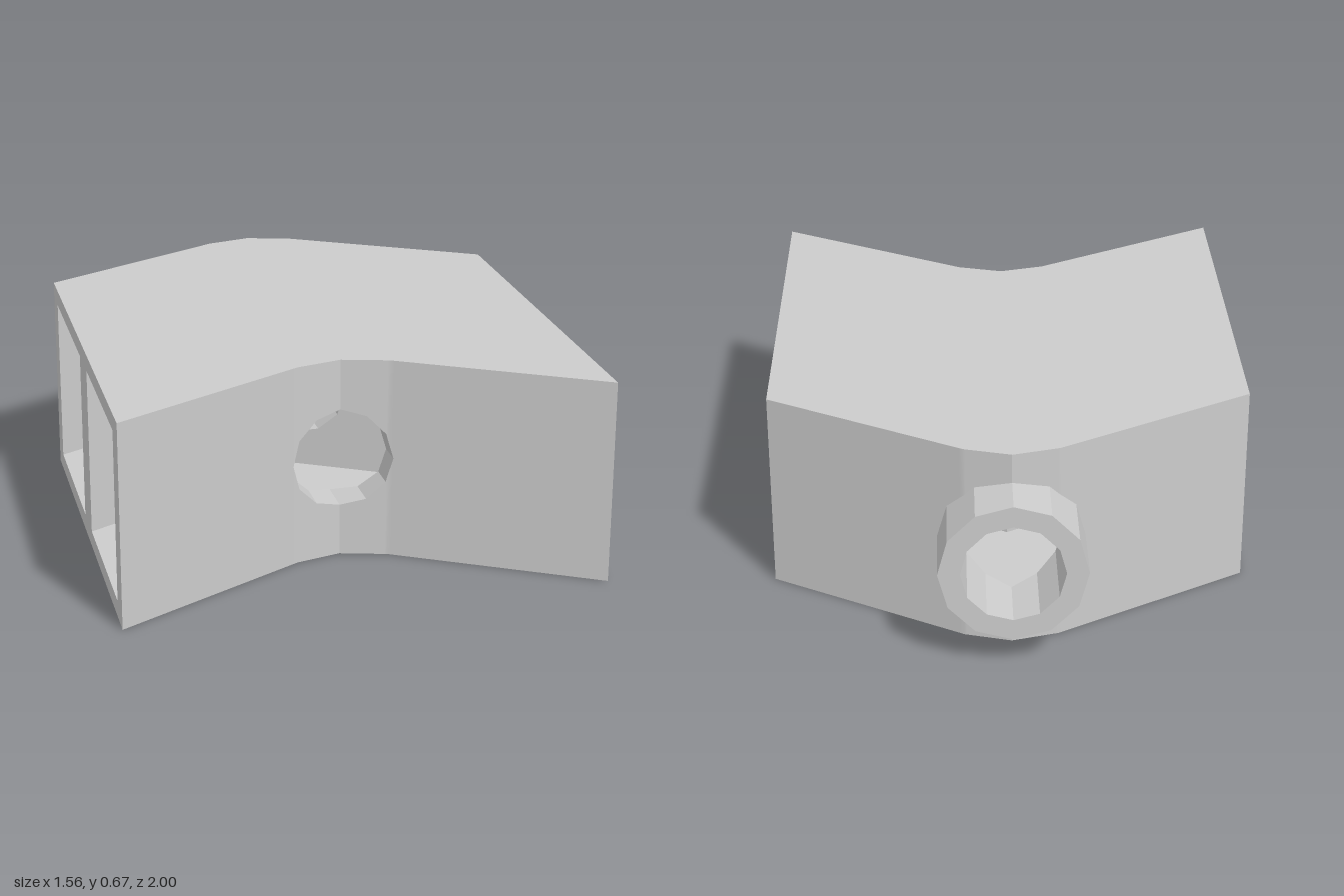
import * as THREE from 'three';
import { toCreasedNormals } from 'three/addons/utils/BufferGeometryUtils.js';

const W = 0.78, H = 0.67, CY = 0.337;      // half width, height, bore centre
const Y0 = 0.055, Y1 = 0.615;              // channel floor and ceiling
const BORE = 0.165, PIPE = 0.235, BACK = -1;
const SLOPE = Math.tan(Math.PI / 6);

// Depth rules across x: blunted chevron outside, sharp V inside
const front = x => {
  const a = Math.abs(x);
  return a < 0.15 ? 0.595 + (a / 0.15) * 0.041 : 1 - (W - a) * (0.364 / 0.63);
};
const back = x => front(x) - 1.44;
const vee = zEnd => x => zEnd - (W - Math.abs(x)) * SLOPE;
const pipeEnd = () => BACK;
const channels = [[0.91, 0.36], [0.21, -0.35]];

// Half height of a 12-sided circle at x
function half(x, r) {
  const a = Math.abs(x);
  for (let k = 0; k < 3; k++) {
    const t0 = k * Math.PI / 6, t1 = t0 + Math.PI / 6;
    const x0 = r * Math.sin(t0), x1 = r * Math.sin(t1);
    if (a <= x1 + 1e-9) {
      return r * THREE.MathUtils.lerp(Math.cos(t0), Math.cos(t1), (a - x0) / (x1 - x0));
    }
  }
  return 0;
}

// Every x where an outline bends
const positive = [0.15, W];
for (const r of [BORE, PIPE]) {
  for (let k = 1; k <= 3; k++) positive.push(r * Math.sin(k * Math.PI / 6));
}
const breaks = [0, ...positive, ...positive.map(x => -x)].sort((a, b) => a - b);

// Ruled sheet between two curves over x
function sheet(out, reach, a, b, flip) {
  const xs = breaks.filter(x => Math.abs(x) <= reach + 1e-9);
  for (let i = 0; i < xs.length - 1; i++) {
    const [p, q] = [xs[i], xs[i + 1]];
    const c = [[p, ...a(p)], [q, ...a(q)], [q, ...b(q)], [p, ...b(p)]];
    for (const k of flip ? [0, 2, 1, 0, 3, 2] : [0, 1, 2, 0, 2, 3]) out.push(...c[k]);
  }
}

// Upright wall pierced by the bore
function wall(out, z, lo, hi, flip) {
  sheet(out, W, x => [lo, z(x)], x => [CY - half(x, BORE), z(x)], flip);
  sheet(out, W, x => [CY + half(x, BORE), z(x)], x => [hi, z(x)], flip);
}

// Level plate between two depth curves
function plate(out, y, zA, zB, flip) {
  sheet(out, W, x => [y, zA(x)], x => [y, zB(x)], flip);
}

// Round skin running along z
function round(out, r, zA, zB, inward) {
  for (const s of [1, -1]) {
    const edge = z => x => [CY + s * half(x, r), z(x)];
    sheet(out, r, edge(zA), edge(zB), (s > 0) === inward);
  }
}

function part(name, positions) {
  const g = new THREE.BufferGeometry();
  g.setAttribute('position', new THREE.Float32BufferAttribute(positions, 3));
  return mesh(name, toCreasedNormals(g, 0.4));
}

function mesh(name, geometry) {
  const m = new THREE.Mesh(geometry, new THREE.MeshStandardMaterial({ color: 0xcccccc }));
  m.name = name;
  return m;
}

function rectangle(path, u0, u1, v0, v1) {
  path.moveTo(u0, v0);
  path.lineTo(u1, v0);
  path.lineTo(u1, v1);
  path.lineTo(u0, v1);
  path.closePath();
  return path;
}

export function createModel() {
  const group = new THREE.Group();
  group.name = 'chevronBlock';

  // Outer skin
  const shell = [];
  wall(shell, front, 0, H, false);
  wall(shell, back, 0, H, true);
  plate(shell, H, front, back, false);
  plate(shell, 0, front, back, true);
  group.add(part('outerShell', shell));

  // Two bent channels running from side to side
  channels.forEach(([zf, zb], i) => {
    const c = [], f = vee(zf), b = vee(zb);
    wall(c, f, Y0, Y1, true);
    wall(c, b, Y0, Y1, false);
    plate(c, Y1, f, b, true);
    plate(c, Y0, f, b, false);
    group.add(part(i ? 'rearChannel' : 'frontChannel', c));
  });

  // Bore through the three walls
  const bore = [];
  const [c1, c2] = channels.map(c => c.map(vee));
  for (const [a, b] of [[front, c1[0]], [c1[1], c2[0]], [c2[1], back]]) {
    round(bore, BORE, a, b, true);
  }
  group.add(part('bore', bore));

  // Pipe stub at the back
  const pipe = [];
  round(pipe, PIPE, back, pipeEnd, false);
  round(pipe, BORE, back, pipeEnd, true);
  for (const s of [1, -1]) {
    const rim = r => x => [CY + s * half(x, r), BACK];
    sheet(pipe, PIPE, rim(BORE), rim(PIPE), s > 0);
  }
  group.add(part('backPipe', pipe));

  // End frames with the channel openings
  for (const s of [1, -1]) {
    const shape = rectangle(new THREE.Shape(), -s * front(W), -s * back(W), 0, H);
    for (const [zf, zb] of channels) {
      shape.holes.push(rectangle(new THREE.Path(), -s * zf, -s * zb, Y0, Y1));
    }
    const frame = mesh(s > 0 ? 'leftEndFrame' : 'rightEndFrame', new THREE.ShapeGeometry(shape));
    frame.rotation.y = s * Math.PI / 2;
    frame.position.x = s * W;
    group.add(frame);
  }
  return group;
}
